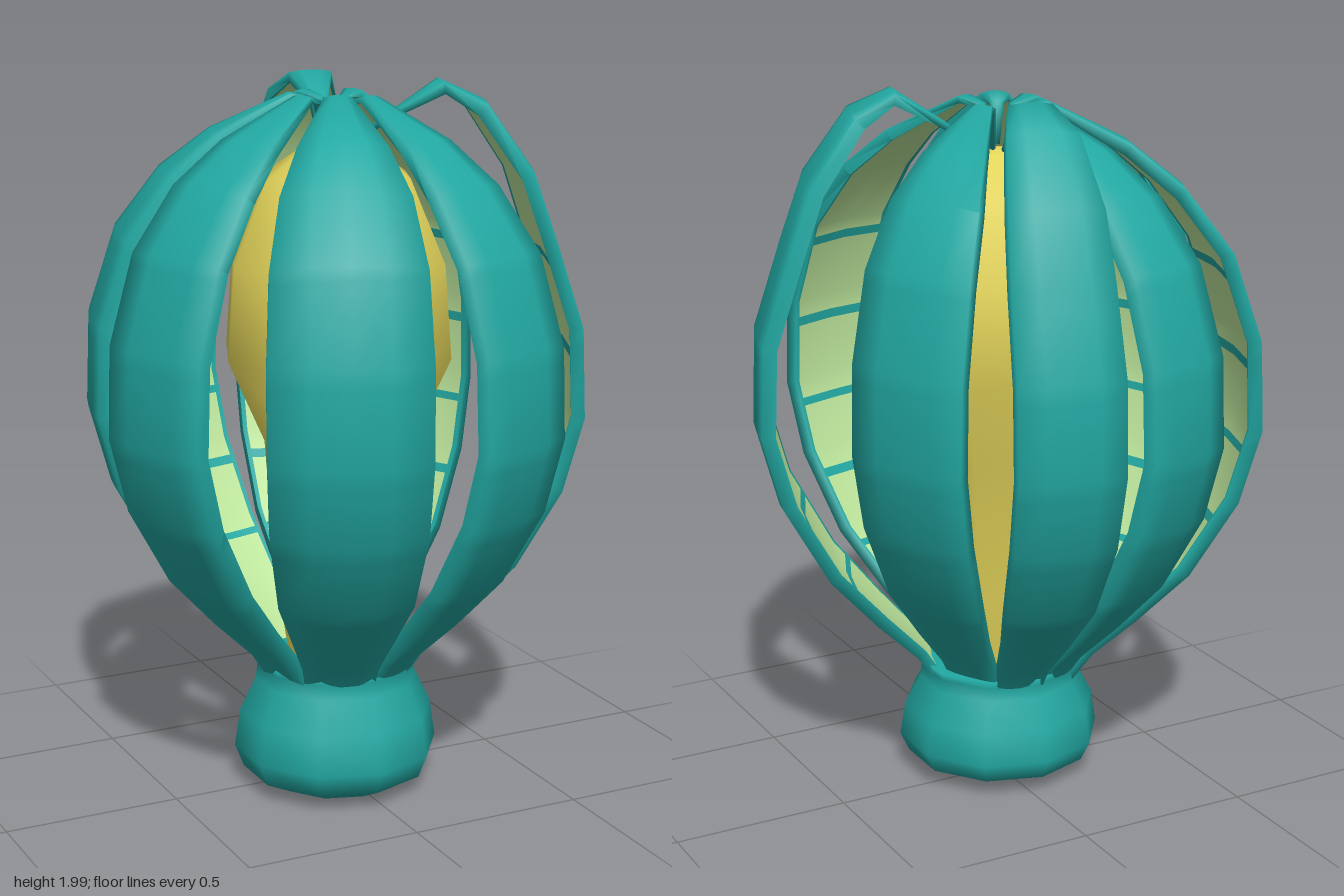
import * as THREE from 'three';
import { toCreasedNormals } from 'three/addons/utils/BufferGeometryUtils.js';

const material = (name, color, side = THREE.FrontSide) =>
  Object.assign(new THREE.MeshStandardMaterial({ color, side }), { name });

// Petal centre line: [radius, height, width fraction], from neck to curled tip
const lower = [
  [0.16, 0.27, 0.42], [0.24, 0.39, 0.5], [0.35, 0.5, 0.64], [0.48, 0.65, 0.85], [0.6, 0.87, 0.97],
  [0.655, 1.08, 1], [0.645, 1.33, 1], [0.57, 1.57, 0.95],
];
const closedTop = [[0.45, 1.74, 0.8], [0.32, 1.85, 0.56], [0.12, 1.955, 0.18], [0.055, 1.94, 0.09], [0.035, 1.83, 0.03]];
const archedTop = [[0.51, 1.75, 0.88], [0.39, 1.93, 0.66], [0.28, 1.985, 0.42], [0.16, 1.91, 0.14], [0.04, 1.83, 0.03]];

// Left and right edge of each petal at its widest, seen from outside: [x, z, x, z, bulge, arched]
const petals = [
  [0.27, -0.60, -0.01, -0.67, 0.05, true],
  [0.53, -0.17, 0.38, -0.50, 0.05, false],
  [0.56, 0.41, 0.68, 0.08, 0.04, true],
  [0.11, 0.67, 0.39, 0.58, 0.04, false],
  [-0.44, 0.50, -0.05, 0.67, 0.11, false],
  [-0.69, 0.04, -0.58, 0.38, 0.04, false],
  [-0.55, -0.49, -0.64, -0.17, 0.04, false],
  [-0.12, -0.63, -0.37, -0.57, 0.05, false],
];

// Cross-section ring: [across, inner side?]
const ring = [
  [-1, 0], [-0.5, 0], [0, 0], [0.5, 0], [1, 0],
  [1, 1], [0.9, 1], [0, 1], [-0.9, 1], [-1, 1],
];
const stripes = [2.7, 3.7, 4.7, 5.75, 6.8];
const stripeHalf = 0.055;

function petalGeometry([ax, az, bx, bz, bulge, arched]) {
  const profile = [...lower, ...(arched ? archedTop : closedTop)];
  const last = profile.length - 1;
  const cx = (ax + bx) / 2, cz = (az + bz) / 2;
  const hx = (bx - ax) / 2, hz = (bz - az) / 2;
  const reach = Math.hypot(cx, cz), width = Math.hypot(bx - ax, bz - az);

  // Outward normals of the centre line
  const nodes = profile.map(([r, y, w], i) => {
    const p = profile[Math.max(i - 1, 0)], q = profile[Math.min(i + 1, last)];
    const len = Math.hypot(q[0] - p[0], q[1] - p[1]);
    return [r, y, w, (q[1] - p[1]) / len, (p[0] - q[0]) / len];
  });
  const sample = (t) => {
    const i = Math.min(Math.floor(t), last - 1), f = t - i;
    return nodes[i].map((v, k) => v + (nodes[i + 1][k] - v) * f);
  };

  // Rows at each profile point and at both edges of each stripe
  const rows = profile.map((_, i) => i);
  stripes.forEach((t) => rows.push(t - stripeHalf, t + stripeHalf));
  rows.sort((a, b) => a - b);

  const positions = [];
  for (const t of rows) {
    const [r, y, w, nr, ny] = sample(t);
    const thick = 0.012 + 0.026 * Math.min(1, w * 1.5);
    for (const [u, inner] of ring) {
      const off = bulge * width * w * (1 - u * u) - inner * thick;
      const radius = (r / 0.655) * reach + nr * off;
      positions.push((cx / reach) * radius + hx * w * u, y + ny * off, (cz / reach) * radius + hz * w * u);
    }
  }

  // Teal shell, with a pale lining between the rims and stripes
  const shell = [], lining = [], n = ring.length;
  for (let i = 0; i < rows.length - 1; i++) {
    const mid = (rows[i] + rows[i + 1]) / 2;
    const striped = stripes.some((t) => Math.abs(t - mid) < stripeHalf);
    for (let k = 0; k < n; k++) {
      const a = i * n + k, b = i * n + (k + 1) % n;
      const pale = (k === 6 || k === 7) && !striped && mid < last - 1;
      (pale ? lining : shell).push(a, b, b + n, a, b + n, a + n);
    }
  }
  const tip = (rows.length - 1) * n;
  for (let k = 1; k < n - 1; k++) shell.push(tip, tip + k, tip + k + 1);

  const geometry = new THREE.BufferGeometry();
  geometry.setAttribute('position', new THREE.Float32BufferAttribute(positions, 3));
  geometry.setIndex([...shell, ...lining]);
  geometry.addGroup(0, shell.length, 0);
  geometry.addGroup(shell.length, lining.length, 1);
  return toCreasedNormals(geometry, 1.7);
}

function lathe(points, sides) {
  return new THREE.LatheGeometry(points.map(([r, y]) => new THREE.Vector2(r, y)), sides);
}

export function createModel() {
  const model = new THREE.Group();
  model.name = 'flowerBulb';
  const teal = material('teal', 0x22a8a2, THREE.DoubleSide);
  const pale = material('paleGreen', 0xc0e99e, THREE.DoubleSide);
  const yellow = material('yellow', 0xe4d55a);

  // Bulbous foot and neck, leaning off-centre towards the bottom
  const footGeometry = lathe([
    [0, 0], [0.18, 0.01], [0.265, 0.05], [0.29, 0.11], [0.275, 0.21],
    [0.23, 0.3], [0.225, 0.34], [0.235, 0.365], [0.15, 0.35], [0, 0.35],
  ], 10);
  const p = footGeometry.attributes.position;
  for (let i = 0; i < p.count; i++) {
    const lean = 1 - p.getY(i) / 0.37;
    p.setX(i, p.getX(i) - 0.03 * lean);
    p.setZ(i, p.getZ(i) + 0.06 * lean);
  }
  const foot = new THREE.Mesh(footGeometry, teal);
  foot.name = 'foot';
  model.add(foot);

  // Inner core, with an overhang halfway up
  const core = new THREE.Mesh(lathe([
    [0.14, 0.3], [0.19, 0.6], [0.22, 1.0], [0.33, 1.24], [0.31, 1.5],
    [0.21, 1.73], [0.08, 1.82], [0, 1.83],
  ], 8), yellow);
  core.name = 'core';
  core.position.set(0.01, 0, -0.01);
  model.add(core);

  // Ring of curled petals
  petals.forEach((spec, i) => {
    const petal = new THREE.Mesh(petalGeometry(spec), [teal, pale]);
    petal.name = `petal${i + 1}`;
    model.add(petal);
  });
  return model;
}
